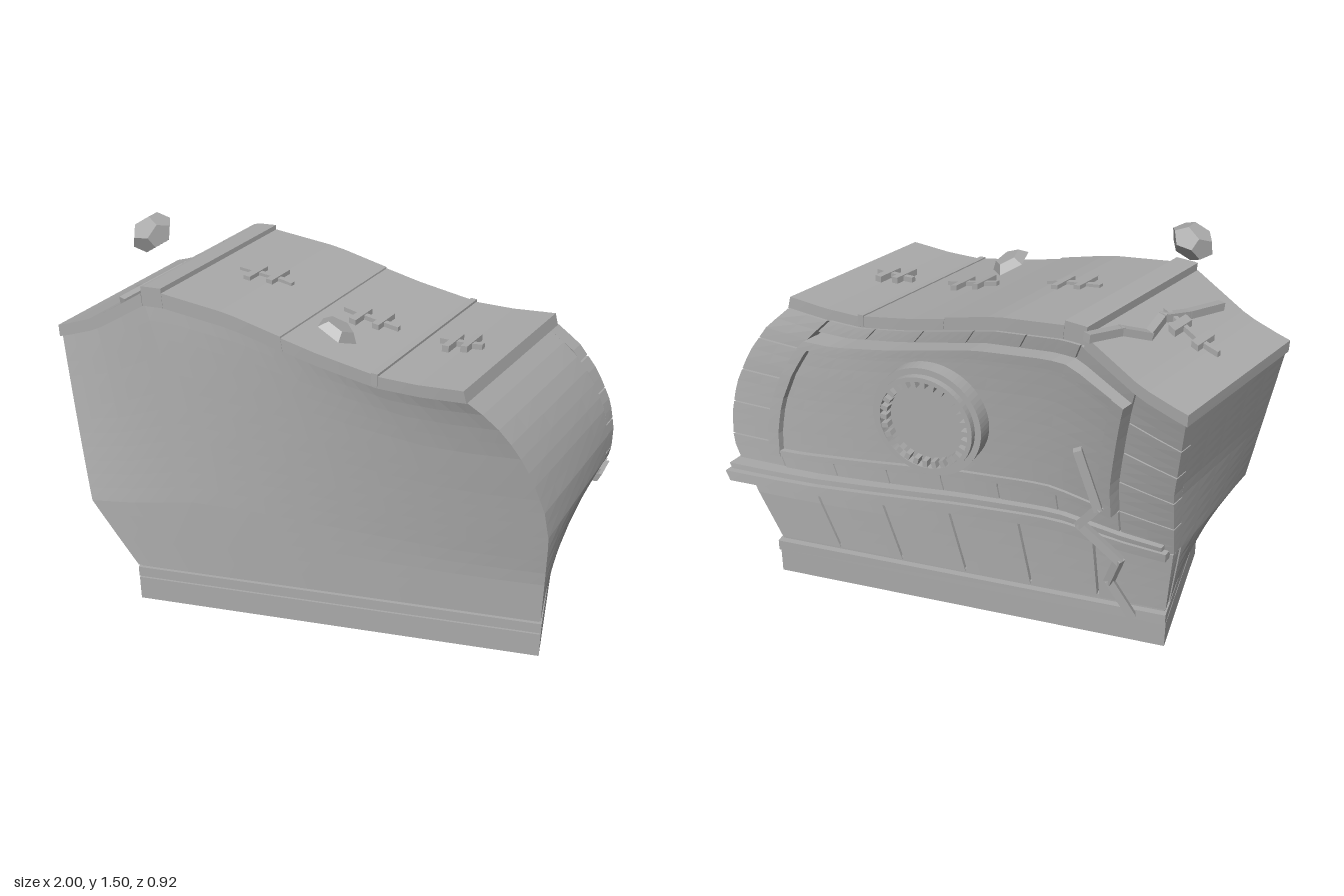
import * as THREE from 'three';

const stone = new THREE.MeshStandardMaterial({ color: 0xa9a9a9, flatShading: true });
stone.name = 'plain grey';

const lerp = THREE.MathUtils.lerp;
const clamp = THREE.MathUtils.clamp;

// piecewise linear lookup in [key, value] pairs
function along(table, t) {
  t = clamp(t, table[0][0], table[table.length - 1][0]);
  let i = 1;
  while (i < table.length - 1 && t > table[i][0]) i++;
  const [a, p] = table[i - 1], [b, q] = table[i];
  return lerp(p, q, (t - a) / (b - a));
}

// outlines of the leaning chest: left edge, right edge and roof line
const LEFT = [[0, -0.72], [0.295, -0.89], [1, -1]];
const RIGHT = [[0, 0.81], [0.4, 0.812], [0.53, 0.79], [0.68, 0.74], [0.8, 0.68], [0.91, 0.6], [1, 0.5]];
const ROOF = [[0, 1.04], [0.1, 1.1], [0.2333, 1.235], [0.2833, 1.24], [0.45, 1.213], [0.5667, 1.17],
  [0.6667, 1.135], [0.8, 1.1], [0.9, 1.1], [1, 1.112]];
// how far the plan has turned by height, and how far the back leans over, at each end
const TURN_LEFT = [[0, 0], [0.295, 0.13], [1, 1]];
const TURN_RIGHT = [[0, 0], [0.2, 0.03], [0.57, 0.32], [0.78, 0.52], [0.92, 0.74], [1, 1]];
const LEAN_LEFT = [[0.16, 0], [0.42, 0.155], [0.7, 0.21], [1.1, 0.238]];
const LEAN_RIGHT = [[0.16, 0], [0.4, 0.115], [0.56, 0.182], [0.75, 0.215], [1.1, 0.24]];

// u runs left to right, v bottom to roof (above 1 is height over it), w front to back
function place(u, v, w) {
  const k = Math.min(v, 1);
  const c = clamp(u, 0, 1);
  if (w > 1) w = 1 + (w - 1) * lerp(0.4, 1, c); // trim thins to the left
  const x = lerp(along(LEFT, k), along(RIGHT, k), u);
  const y0 = 0.16 + k * lerp(0.88, 0.952, u);
  const y = y0 + k * (along(ROOF, u) - lerp(1.04, 1.112, u));
  const turn = lerp(along(TURN_LEFT, k), along(TURN_RIGHT, k), u);
  const lean = lerp(along(LEAN_LEFT, y), along(LEAN_RIGHT, y), c);
  const z = 0.33 + turn * (0.026 + 0.187 * x);
  return new THREE.Vector3(x + lean * w, y + Math.max(0, v - 1), z - w * lerp(0.61, 0.63, turn));
}

export function createModel() {
  const root = new THREE.Group();

  function add(name, geometry, parent = root) {
    const mesh = new THREE.Mesh(geometry, stone);
    mesh.name = name;
    parent.add(mesh);
    return mesh;
  }
  // box bent into the chest's space
  function slab(name, u0, u1, v0, v1, w0, w1, nu = 1, nv = 1, nw = 1) {
    const g = new THREE.BoxGeometry(1, 1, 1, nu, nv, nw);
    const p = g.attributes.position;
    for (let i = 0; i < p.count; i++) {
      const q = place(lerp(u0, u1, p.getX(i) + 0.5), lerp(v0, v1, p.getY(i) + 0.5), lerp(w1, w0, p.getZ(i) + 0.5));
      p.setXYZ(i, q.x, q.y, q.z);
    }
    g.computeVertexNormals();
    return add(name, g);
  }
  function box(name, x0, x1, y0, y1, z0, z1) {
    add(name, new THREE.BoxGeometry(x1 - x0, y1 - y0, z1 - z0))
      .position.set((x0 + x1) / 2, (y0 + y1) / 2, (z0 + z1) / 2);
  }
  // chain of straight bars through points
  function bars(name, points, width, depth) {
    for (let i = 1; i < points.length; i++) {
      const a = points[i - 1], b = points[i];
      const m = add(name, new THREE.BoxGeometry(width, depth, a.distanceTo(b) + width * 0.5));
      m.position.copy(a).add(b).multiplyScalar(0.5);
      m.lookAt(b);
    }
  }

  // plinth
  box('plinth', -0.72, 0.815, 0, 0.1, -0.28, 0.33);
  box('plinthGap', -0.71, 0.805, 0.1, 0.17, -0.27, 0.32);
  box('plinthTrim', -0.72, 0.815, 0.108, 0.15, -0.295, 0.332);

  // twisted body
  slab('body', 0, 1, 0, 1, 0, 0.91, 30, 17, 5);

  // lid boards with a raised ridge board
  const seams = [-0.004, 0.232, 0.285, 0.58, 0.802, 1.004];
  const heights = [1.036, 1.062, 1.045, 1.04, 1.036];
  for (let i = 0; i < 5; i++)
    slab('lidBoard', seams[i], seams[i + 1] - 0.001, 0.99, heights[i], -0.012, i ? 0.985 : 1.005, 8, 1);
  slab('lidSeam', 0.795, 0.81, 1, 1.045, -0.014, 0.99);

  // planks on the back: low uprights, a row under the panel, end courses and a top row
  const gap = 0.003;
  for (let i = 0; i < 6; i++) {
    slab('lowPlank', i / 6 + gap, (i + 1) / 6 - gap, 0, 0.29, 0.91, 0.99, 5, 6);
    const u = 0.113 + i * 0.129;
    slab('middlePlank', u, u + 0.126, 0.3, 0.43, 0.91, 1.01, 5, 3);
    slab('topPlank', u, u + 0.126, 0.945, 0.995, 0.91, 1, 5, 1);
  }
  for (let i = 0; i < 5; i++) {
    const v = 0.3 + i * 0.14;
    const top = Math.min(v + 0.14, 0.995) - gap;
    slab('endPlank', 0, 0.11, v + gap, top, 0.91, 1, 2, 3);
    slab('endPlank', 0.89, 1, v + gap, top, 0.91, 1, 2, 3);
  }

  // framed panel and belt rail
  slab('panel', 0.12, 0.87, 0.44, 0.93, 0.9, 1.095, 24, 10);
  slab('frameTop', 0.115, 0.875, 0.905, 0.94, 0.95, 1.135, 24, 1);
  slab('frameBottom', 0.115, 0.875, 0.43, 0.455, 0.95, 1.13, 24, 1);
  slab('frameSide', 0.115, 0.14, 0.43, 0.94, 0.95, 1.145, 1, 10);
  slab('frameSide', 0.85, 0.875, 0.43, 0.94, 0.95, 1.135, 1, 10);
  slab('beltRail', 0.01, 1.014, 0.275, 0.315, 0.95, 1.115, 24, 1);
  slab('beltRailCap', 0.02, 1.005, 0.318, 0.34, 0.95, 1.085, 24, 1);

  // round medallion with a toothed ring
  const medallion = new THREE.Group();
  medallion.name = 'medallion';
  medallion.position.set(0.135, 0.85, -0.315);
  medallion.rotation.y = Math.PI - 0.1;
  root.add(medallion);
  function ring(name, outer, inner, depth) {
    const s = new THREE.Shape().absarc(0, 0, outer, 0, Math.PI * 2);
    s.holes.push(new THREE.Path().absarc(0, 0, inner, 0, Math.PI * 2, true));
    add(name, new THREE.ExtrudeGeometry(s, { depth, bevelEnabled: false, curveSegments: 36 }), medallion);
  }
  ring('outerRing', 0.208, 0.175, 0.075);
  ring('innerRing', 0.185, 0.168, 0.1);
  const disc = add('medallionDisc', new THREE.CylinderGeometry(0.178, 0.178, 0.065, 36), medallion);
  disc.rotation.x = Math.PI / 2;
  disc.position.z = 0.0325;
  for (let i = 0; i < 28; i++) {
    const a = i / 28 * Math.PI * 2;
    const tooth = add('tooth', new THREE.BoxGeometry(0.026, 0.018, 0.05), medallion);
    tooth.position.set(Math.cos(a) * 0.156, Math.sin(a) * 0.156, 0.072);
    tooth.rotation.z = a;
  }

  // bent strap on the back
  const V = (x, y, z) => new THREE.Vector3(x, y, z);
  bars('bentStrap', [V(-0.41, 0.86, -0.43), V(-0.48, 0.635, -0.41), V(-0.415, 0.546, -0.39),
    V(-0.555, 0.41, -0.37), V(-0.52, 0.3, -0.35), V(-0.6, 0.15, -0.325)], 0.028, 0.03);

  // jagged strip over the ridge of the lid
  const strip = [[0.225, 1.0], [0.205, 0.8], [0.17, 0.68], [0.185, 0.5], [0.165, 0.34], [0.145, 0.1]];
  bars('jaggedStrip', strip.map(([u, w]) => place(u, 1.04, w)), 0.03, 0.03);

  // stitched cross marks on the lid
  for (const [u, w] of [[0.127, 0.45], [0.413, 0.455], [0.68, 0.445], [0.893, 0.46]]) {
    const s = u > 0.8 ? 0.75 : 1;
    slab('crossBar', u - 0.066 * s, u + 0.066 * s, 1.02, 1.056, w - 0.014, w + 0.014, 6, 1);
    for (const side of [-1, 1]) {
      const c = u + side * 0.024 * s;
      slab('crossArm', c - 0.008, c + 0.008, 1.02, 1.06, w - 0.08 + side * 0.015, w + 0.08 + side * 0.015);
    }
  }

  // tilted shard on the lid
  const shard = add('shard', new THREE.CylinderGeometry(0.05, 0.078, 0.03, 5));
  shard.position.set(0.045, 1.215, 0.245);
  shard.rotation.set(0, 0.3, -0.5);

  // floating rock
  const rock = add('floatingRock', new THREE.DodecahedronGeometry(0.078));
  rock.scale.set(1.05, 0.8, 0.9);
  rock.position.set(-0.655, 1.435, 0.093);
  rock.rotation.set(0.2, 0.3, 0.5);

  return root;
}
